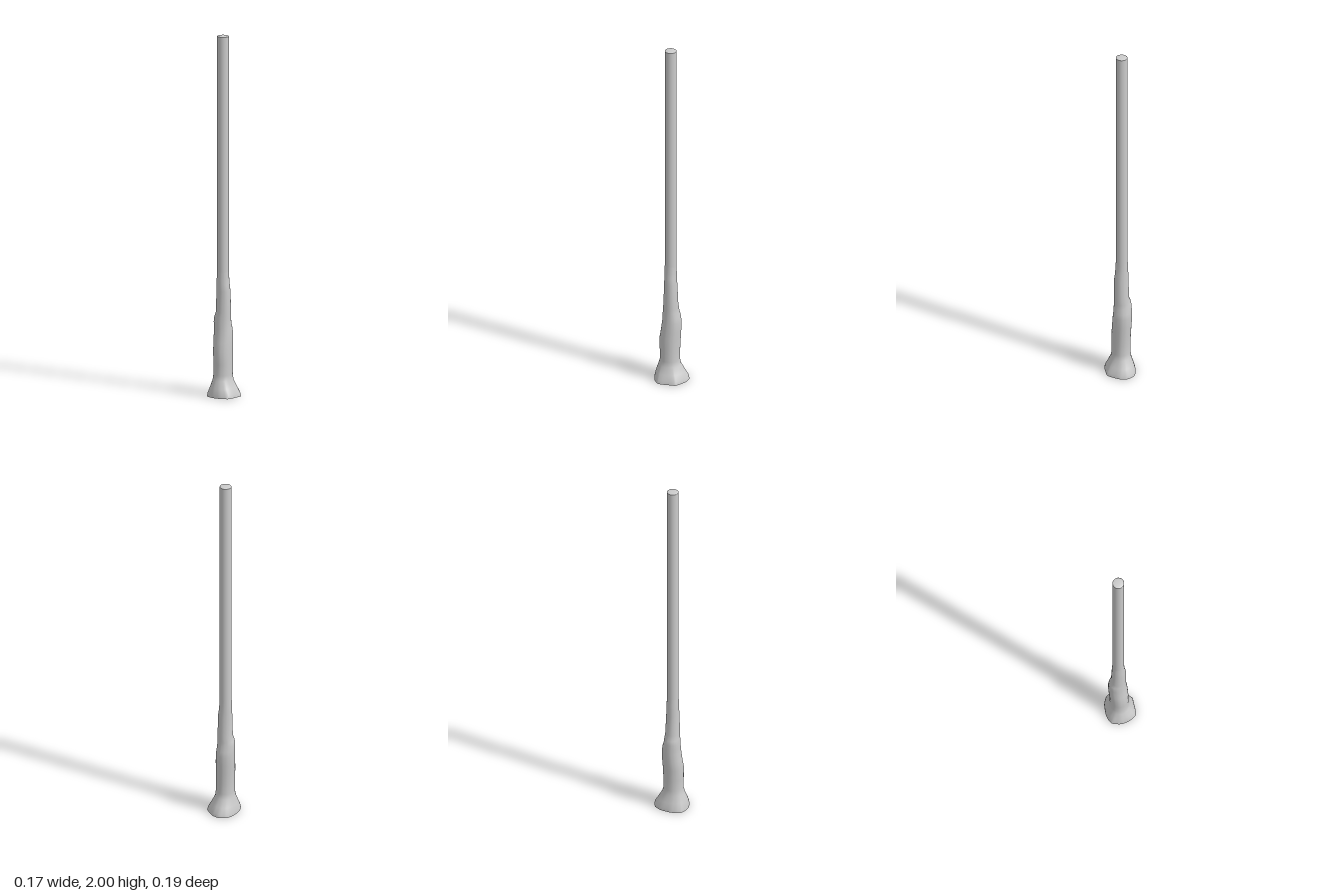
import * as THREE from 'three';

const material = new THREE.MeshStandardMaterial({ color: 0xcccccc, side: THREE.DoubleSide });
const SIDES = 42;

// Irregular flared rim as [x, z], counter-clockwise from above
const RIM = [
  [0.084, -0.032], [0.034, -0.084], [-0.01, -0.098], [-0.05, -0.082], [-0.073, -0.045],
  [-0.084, 0.01], [-0.081, 0.045], [-0.07, 0.072], [-0.037, 0.088], [-0.016, 0.093],
  [0.025, 0.09], [0.066, 0.073], [0.077, 0.045], [0.082, 0],
];

// Sleeve sections: [y, xMin, xMax, zMin, zMax, share of the rim outline]
const SECTIONS = [
  [0, -0.083, 0.083, -0.095, 0.093, 1],
  [0.02, -0.077, 0.07, -0.081, 0.088, 0.75],
  [0.05, -0.069, 0.058, -0.067, 0.081, 0.3],
  [0.09, -0.061, 0.048, -0.053, 0.071, 0],
  [0.12, -0.058, 0.045, -0.046, 0.063, 0],
  [0.18, -0.057, 0.045, -0.047, 0.064, 0],
  [0.25, -0.06, 0.044, -0.05, 0.065, 0],
  [0.3, -0.062, 0.043, -0.053, 0.057, 0],
  [0.35, -0.063, 0.041, -0.054, 0.051, 0],
  [0.38, -0.063, 0.037, -0.05, 0.049, 0],
  [0.41, -0.063, 0.035, -0.042, 0.048, 0],
  [0.435, -0.06, 0.034, -0.039, 0.046, 0],
  [0.465, -0.049, 0.034, -0.036, 0.044, 0],
  [0.58, -0.046, 0.033, -0.031, 0.04, 0],
  [0.62, -0.045, 0.027, -0.029, 0.039, 0],
  [0.65, -0.044, 0.025, -0.028, 0.038, 0],
  [0.69, -0.042, 0.023, -0.027, 0.037, 0],
];

// Skin closed rings: each section is an ellipse blended towards the rim outline
function sleeveGeometry() {
  const rim = new THREE.CatmullRomCurve3(
    RIM.map(([x, z]) => new THREE.Vector3(x, 0, z)), true, 'catmullrom', 0.25);
  const positions = [], index = [];
  SECTIONS.forEach(([y, x0, x1, z0, z1, flare], row) => {
    for (let i = 0; i < SIDES; i++) {
      const p = rim.getPoint(i / SIDES);
      const a = Math.atan2(p.z, p.x);
      const x = (x0 + x1) / 2 + Math.cos(a) * (x1 - x0) / 2;
      const z = (z0 + z1) / 2 + Math.sin(a) * (z1 - z0) / 2;
      positions.push(THREE.MathUtils.lerp(x, p.x, flare), y, THREE.MathUtils.lerp(z, p.z, flare));
      if (row === 0) continue;
      const j = (i + 1) % SIDES, low = (row - 1) * SIDES, high = row * SIDES;
      index.push(low + i, low + j, high + j, low + i, high + j, high + i);
    }
  });
  const geometry = new THREE.BufferGeometry();
  geometry.setAttribute('position', new THREE.Float32BufferAttribute(positions, 3));
  geometry.setIndex(index);
  geometry.computeVertexNormals();
  return geometry;
}

export function createModel() {
  const group = new THREE.Group();
  group.name = 'pole';

  // Hollow lumpy sleeve, open at the foot
  const sleeve = new THREE.Mesh(sleeveGeometry(), material);
  sleeve.name = 'flaredSleeve';
  group.add(sleeve);

  // Straight shaft rising out of the sleeve
  const bottom = 0.66, top = 1.995;
  const shaft = new THREE.Mesh(
    new THREE.CylinderGeometry(0.032, 0.032, top - bottom, 32, 1, true), material);
  shaft.name = 'shaft';
  shaft.position.set(-0.009, (top + bottom) / 2, 0.005);
  group.add(shaft);

  // Shallow domed end
  const cap = new THREE.Mesh(
    new THREE.SphereGeometry(0.032, 32, 6, 0, Math.PI * 2, 0, Math.PI / 2), material);
  cap.name = 'endCap';
  cap.scale.y = 0.005 / 0.032;
  cap.position.set(-0.009, top, 0.005);
  group.add(cap);

  return group;
}
